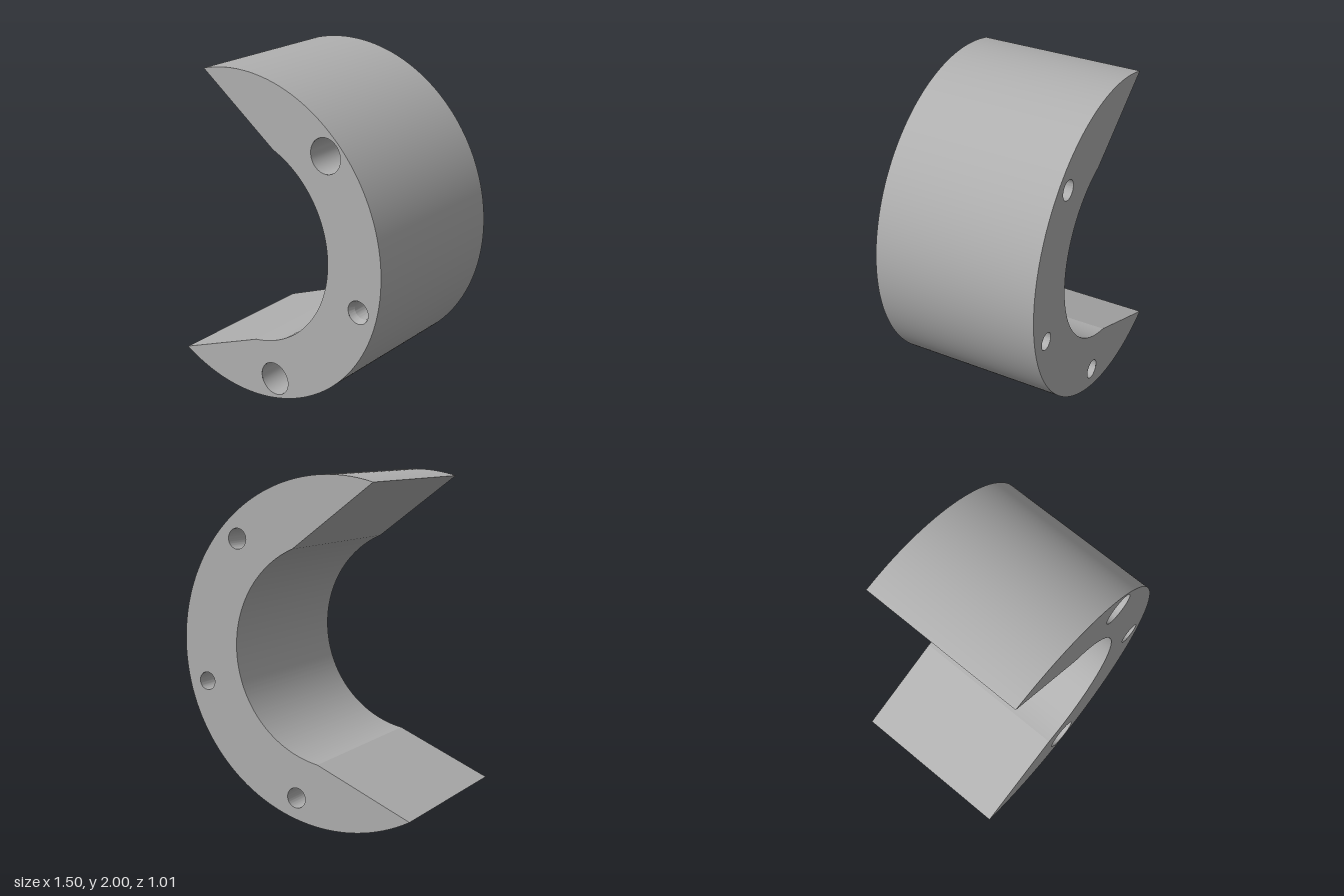
import * as THREE from 'three';
import { toCreasedNormals } from 'three/addons/utils/BufferGeometryUtils.js';

const CX = -0.25, CY = 1, OUTER = 1, INNER = 0.635, HALF = 0.507;
const rad = THREE.MathUtils.degToRad;

// Bores: centre, and radius / z steps from front to back
const counterbore = [[0.102, HALF], [0.102, 0], [0.06, 0], [0.06, -HALF]];
const countersink = [[0.069, HALF], [0.053, HALF - 0.04], [0.053, -HALF]];
const bores = [
  { name: 'upperCounterbore', x: 0.37, y: 1.625, steps: counterbore },
  { name: 'lowerCounterbore', x: -0.02, y: 0.155, steps: counterbore },
  { name: 'middleHole', x: 0.598, y: 0.775, steps: countersink },
];

// C-shaped outline: outer arc, straight cut, inner arc, straight cut
function outline() {
  const s = new THREE.Shape();
  s.absarc(CX, CY, OUTER, rad(-120), rad(105.3), false);
  s.absarc(CX, CY, INNER, rad(67), rad(-82), true);
  return s;
}

// Flat end face with one round opening per bore
function endFace(z, step) {
  const s = outline();
  for (const b of bores) {
    const r = b.steps.at(step)[0];
    s.holes.push(new THREE.Path().absarc(b.x, b.y, r, 0, Math.PI * 2, true));
  }
  const g = new THREE.ShapeGeometry(s, 96);
  if (z < 0) {
    g.setIndex(Array.from(g.index.array).reverse());
    g.computeVertexNormals();
  }
  return g.translate(0, 0, z);
}

// Side wall swept along z around the outline
function sideWall() {
  const pts = outline().getPoints(96);
  if (pts[0].distanceTo(pts.at(-1)) < 1e-5) pts.pop();
  const pos = [];
  pts.forEach((a, i) => {
    const b = pts[(i + 1) % pts.length];
    pos.push(a.x, a.y, -HALF, b.x, b.y, -HALF, b.x, b.y, HALF);
    pos.push(a.x, a.y, -HALF, b.x, b.y, HALF, a.x, a.y, HALF);
  });
  const g = new THREE.BufferGeometry();
  g.setAttribute('position', new THREE.Float32BufferAttribute(pos, 3));
  return toCreasedNormals(g, 0.1);
}

// Inward-facing bore surface
function boreWall(b) {
  const g = new THREE.LatheGeometry(b.steps.map(([r, z]) => new THREE.Vector2(r, z)), 64);
  return toCreasedNormals(g, 0.2).rotateX(Math.PI / 2).translate(b.x, b.y, 0);
}

export function createModel() {
  const group = new THREE.Group();
  group.name = 'cShapedClamp';
  const grey = new THREE.MeshStandardMaterial({ color: 0xb0b0b0 });
  grey.name = 'grey metal';
  const add = (name, geometry) => {
    const mesh = new THREE.Mesh(geometry, grey);
    mesh.name = name;
    group.add(mesh);
  };
  add('frontFace', endFace(HALF, 0));
  add('backFace', endFace(-HALF, -1));
  add('sideWall', sideWall());
  for (const b of bores) add(b.name, boreWall(b));
  return group;
}
